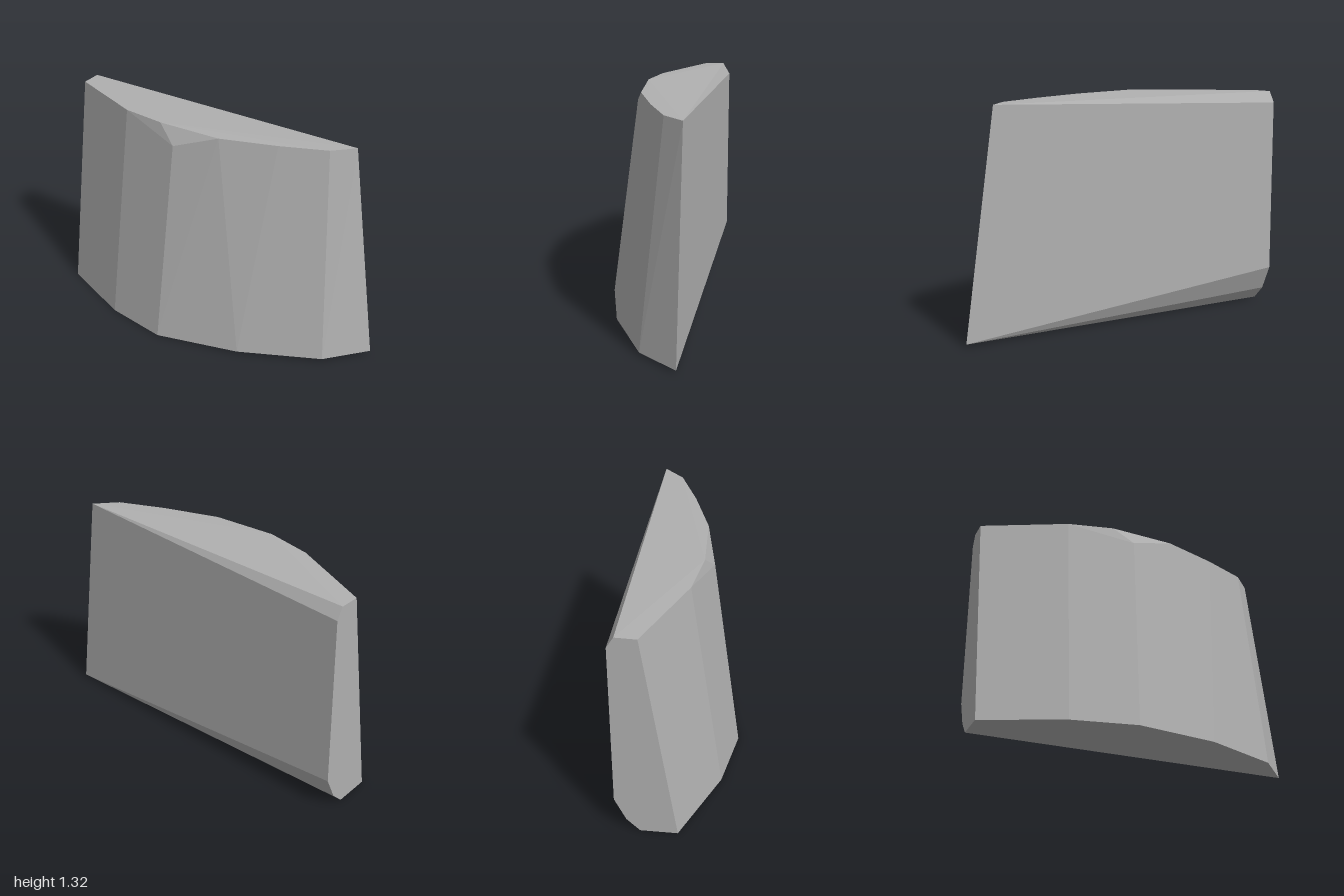
import * as THREE from 'three';
import { ConvexGeometry } from 'three/addons/geometries/ConvexGeometry.js';

export function createModel() {
  const group = new THREE.Group();
  group.name = 'stoneBlock';
  const stone = new THREE.MeshStandardMaterial({ color: 0xb0b0b0, flatShading: true });
  stone.name = 'grey stone';

  // Corners of the faceted slab
  const bottomRim = [
    [-1, 0, 0.04], [-0.54, 0, 0.24], [-0.16, 0, 0.31],
    [0.34, 0.012, 0.2], [0.8, 0.015, -0.01], [1, 0.015, -0.24],
  ];
  const topRim = [
    [-1, 1.303, -0.15], [-0.52, 1.313, 0.06], [-0.25, 1.32, 0.105],
    [0.13, 1.312, 0.087], [0.45, 1.309, -0.02], [0.71, 1.306, -0.13], [0.82, 1.304, -0.245],
  ];
  // Chipped front corner below the top rim
  const frontChip = [[-0.135, 1.22, 0.15]];
  // Bevelled back edge at the thick end
  const backBevel = [
    [-1, 1.306, -0.27], [-1, 1.24, -0.31], [-1, 0.22, -0.31],
    [-1, 0.077, -0.245], [-1, 0, -0.17],
  ];

  const points = [...bottomRim, ...topRim, ...frontChip, ...backBevel]
    .map((p) => new THREE.Vector3(...p));
  const slab = new THREE.Mesh(new ConvexGeometry(points), stone);
  slab.name = 'slab';
  group.add(slab);
  return group;
}
